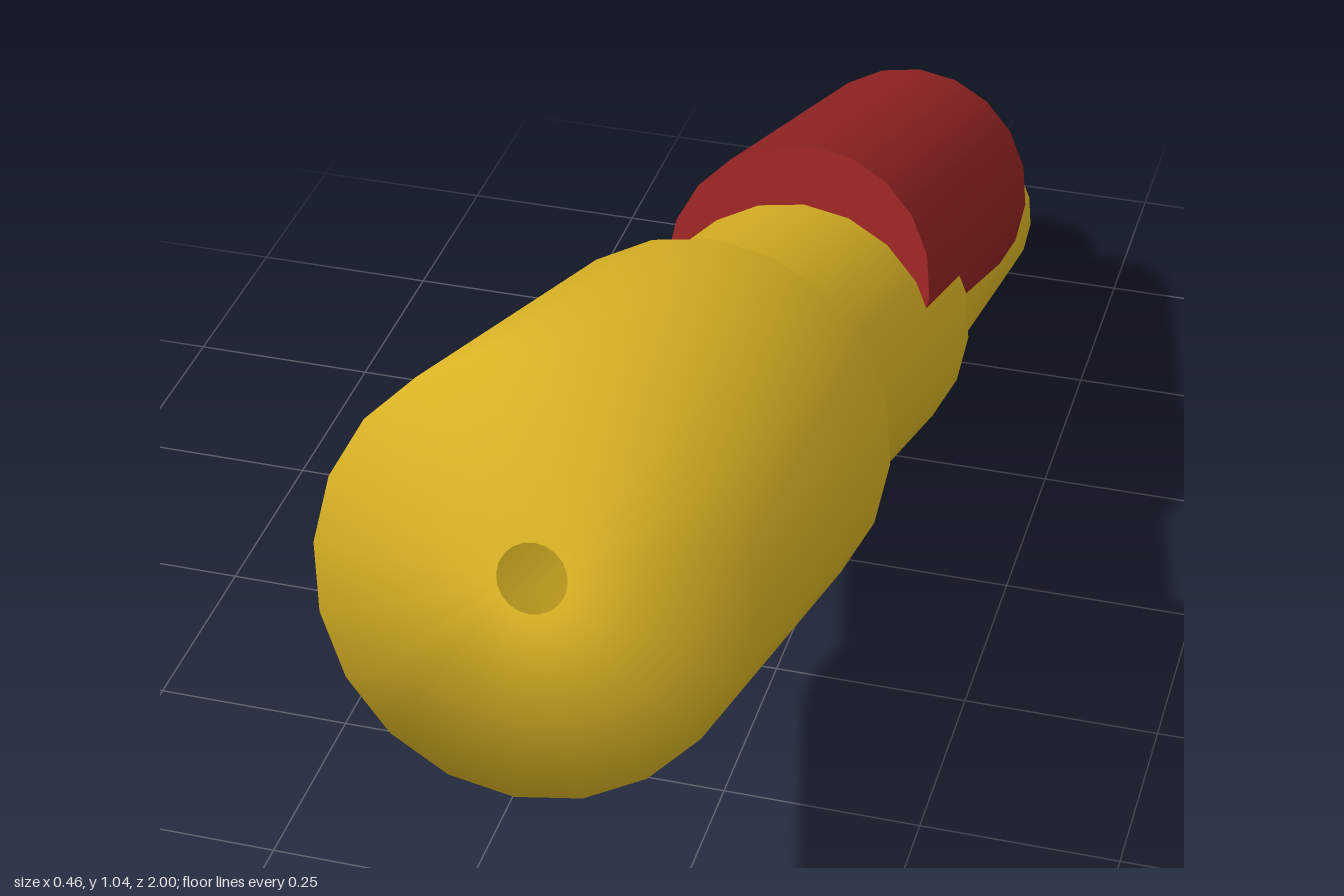
import * as THREE from 'three';

const SIDES = 20;

export function createModel() {
  const yellow = new THREE.MeshStandardMaterial({ color: 0xe0b825, side: THREE.DoubleSide });
  yellow.name = 'yellow';
  const red = new THREE.MeshStandardMaterial({ color: 0x962424 });
  red.name = 'darkRed';

  const model = new THREE.Group();
  model.name = 'tiltedNozzle';

  // Everything is built along local +y (rear to front), then tilted forward
  const assembly = new THREE.Group();
  assembly.name = 'tiltedAssembly';
  assembly.position.set(0, 0.12, -0.955);
  assembly.rotation.x = THREE.MathUtils.degToRad(90 - 20.7);
  model.add(assembly);

  // Hollow stepped tube: open at the rear, small hole in the front face
  const profile = [
    [0.128, 0], [0.16, 0.718],          // tapered rear tube
    [0.186, 0.75], [0.184, 1.364],      // middle tube
    [0.227, 1.397], [0.2287, 2.005],    // wide front tube
    [0.037, 2.005],                     // front face up to the hole
  ].map(([r, y]) => new THREE.Vector2(r, y));
  const tube = new THREE.Mesh(new THREE.LatheGeometry(profile, SIDES), yellow);
  tube.name = 'steppedTube';
  assembly.add(tube);

  // Red cylinder sunk into the upper side of the tube
  const canister = new THREE.Mesh(new THREE.CylinderGeometry(0.168, 0.168, 0.643, SIDES), red);
  canister.name = 'topCanister';
  canister.position.set(0, 0.631, -0.092);
  assembly.add(canister);

  return model;
}
